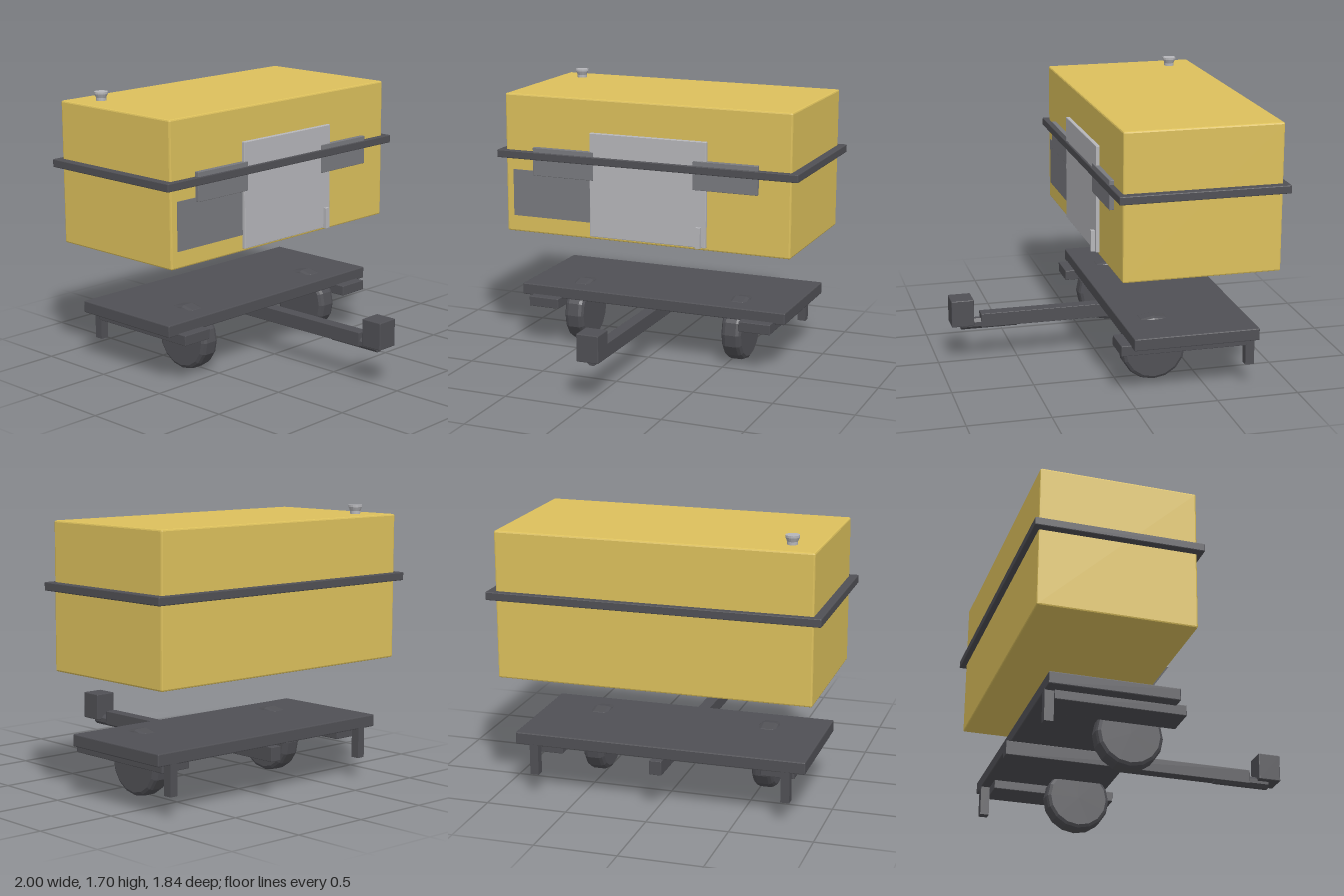
import * as THREE from 'three';
import { RoundedBoxGeometry } from 'three/addons/geometries/RoundedBoxGeometry.js';

const paint = (color) => new THREE.MeshStandardMaterial({ color, flatShading: true });

export function createModel() {
  const model = new THREE.Group();
  model.name = 'trailerUnit';
  const yellow = paint(0xdcc05c);
  const dark = paint(0x505055);
  const plateGrey = paint(0x797a7f);
  const lightGrey = paint(0xb6b6ba);

  const add = (name, geometry, material, x, y, z) => {
    const mesh = new THREE.Mesh(geometry, material);
    mesh.name = name;
    mesh.position.set(x, y, z);
    model.add(mesh);
    return mesh;
  };
  // Box given by its limits on each axis, with softened edges when bevel > 0
  const box = (name, material, [x0, x1], [y0, y1], [z0, z1], bevel = 0) => {
    const size = [x1 - x0, y1 - y0, z1 - z0];
    const geometry = bevel
      ? new RoundedBoxGeometry(...size, 1, bevel)
      : new THREE.BoxGeometry(...size);
    return add(name, geometry, material, (x0 + x1) / 2, (y0 + y1) / 2, (z0 + z1) / 2);
  };

  // Housing and the band around it
  box('housing', yellow, [-0.95, 0.95], [0.76, 1.65], [-0.885, 0.07], 0.01);
  box('band', dark, [-1, 1], [1.24, 1.29], [-0.92, 0.103], 0.005);

  // Front panels
  box('door', lightGrey, [-0.36, 0.415], [0.78, 1.44], [0.06, 0.092], 0.004);
  box('doorHandle', lightGrey, [0.355, 0.387], [0.78, 0.91], [0.08, 0.115]);
  box('lowerPanel', plateGrey, [-0.9, -0.355], [0.865, 1.165], [0.06, 0.074]);
  box('upperPanelRight', plateGrey, [-0.75, -0.335], [1.14, 1.32], [0.06, 0.097], 0.003);
  box('upperPanelLeft', plateGrey, [0.33, 0.745], [1.14, 1.32], [0.06, 0.097], 0.003);

  // Roof vent: narrow neck flaring to a cap
  const ventProfile = [[0, 0], [0.031, 0], [0.031, 0.018], [0.042, 0.042], [0.042, 0.055], [0, 0.055]]
    .map(([r, y]) => new THREE.Vector2(r, y));
  add('roofVent', new THREE.LatheGeometry(ventProfile, 16), lightGrey, -0.78, 1.65, -0.71);

  // Chassis deck
  box('deck', dark, [-0.895, 0.895], [0.315, 0.39], [-0.79, -0.02], 0.006);

  // Wheels, side rails and rear support legs, mirrored
  const tyreProfile = [[0, -0.065], [0.178, -0.065], [0.195, -0.054], [0.203, -0.035],
    [0.203, 0.035], [0.195, 0.054], [0.178, 0.065], [0, 0.065]]
    .map(([r, y]) => new THREE.Vector2(r, y));
  const tyre = new THREE.LatheGeometry(tyreProfile, 16);
  for (const [side, s] of [['left', 1], ['right', -1]]) {
    const span = (a, b) => (s > 0 ? [a, b] : [-b, -a]);
    add(side + 'Wheel', tyre, dark, s * 0.54, 0.205, -0.225).rotation.z = Math.PI / 2;
    box(side + 'Rail', dark, span(0.615, 0.82), [0.26, 0.325], [-0.735, 0.04], 0.004);
    box(side + 'SupportLeg', dark, span(0.752, 0.805), [0.13, 0.32], [-0.79, -0.735]);
  }

  // Drawbar with sliding tube and hitch block
  box('drawbar', dark, [-0.038, 0.038], [0.225, 0.313], [-0.82, 0.73], 0.003);
  const tube = new THREE.CylinderGeometry(0.036, 0.036, 0.355, 8);
  tube.rotateY(Math.PI / 8).rotateX(Math.PI / 2);
  add('hitchTube', tube, dark, 0, 0.246, 0.6775);
  box('hitchBlock', dark, [-0.07, 0.07], [0.25, 0.42], [0.78, 0.92], 0.005);

  return model;
}
